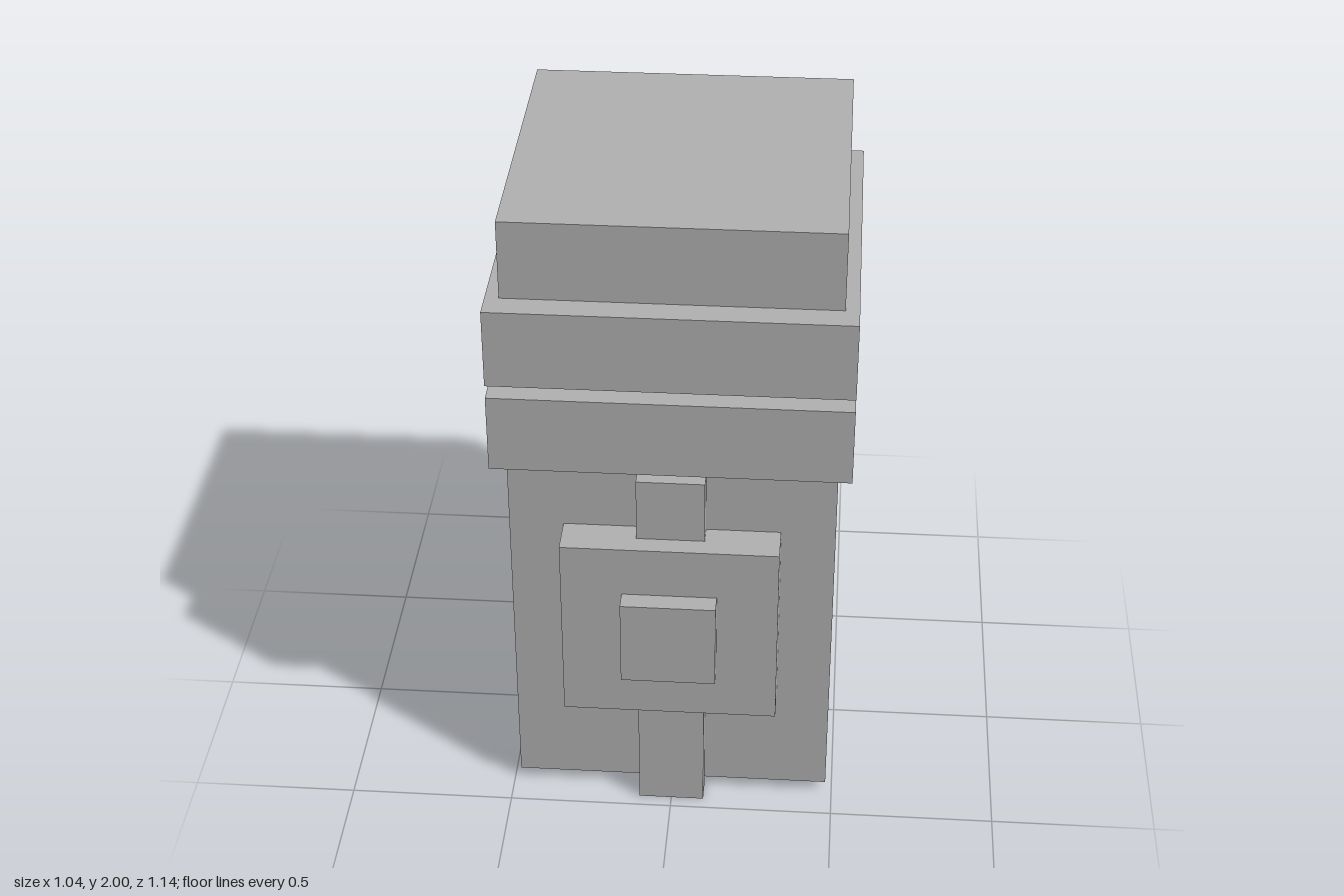
import * as THREE from 'three';

export function createModel() {
  const model = new THREE.Group();
  model.name = 'bandedPost';
  const grey = new THREE.MeshStandardMaterial({ color: 0xb2b2b2 });
  grey.name = 'plain grey';

  // Box centred on x, given its half width and its y and z ranges
  function block(name, halfWidth, y0, y1, z0, z1) {
    const mesh = new THREE.Mesh(new THREE.BoxGeometry(halfWidth * 2, y1 - y0, z1 - z0), grey);
    mesh.name = name;
    mesh.position.set(0, (y0 + y1) / 2, (z0 + z1) / 2);
    model.add(mesh);
  }

  const back = -0.56, front = 0.4;

  // Square body
  block('body', 0.48, 0.04, 2, back, front);

  // Two raised bands, all but flush at the back
  block('lowerBand', 0.52, 1.24, 1.48, back - 0.002, 0.48);
  block('upperBand', 0.52, 1.52, 1.76, back - 0.002, 0.48);

  // Front strap with its stepped square plate
  block('strap', 0.1, 0, 1.2, 0.385, 0.46);
  block('plate', 0.32, 0.4, 1, front - 0.01, 0.52);
  block('plateBoss', 0.14, 0.565, 0.84, 0.51, 0.58);

  return model;
}
